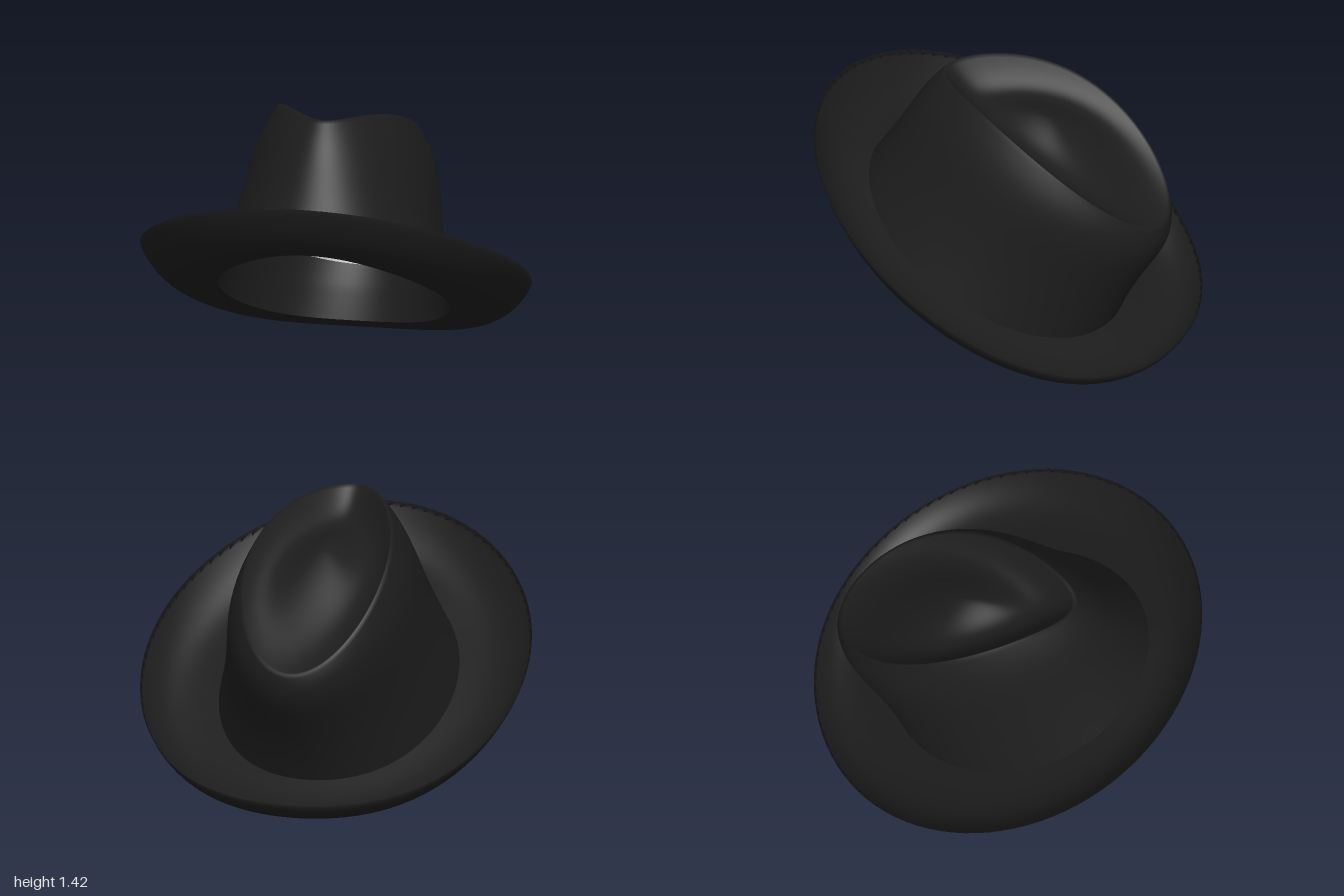
import * as THREE from 'three';

const { sin, cos, PI, max, pow } = Math;
const SEG = 96;
const lerp = THREE.MathUtils.lerp;

// Closed loft: rows of rings, each point given by point(angle, v) with v from v0 to v1.
// Angle 0 is the front (+z), a quarter turn is the wearer's left (+x).
function loft(point, v0, v1, rows) {
  const pos = [], idx = [];
  for (let j = 0; j <= rows; j++) {
    for (let i = 0; i < SEG; i++) pos.push(...point((i / SEG) * 2 * PI, lerp(v0, v1, j / rows)));
  }
  for (let j = 0; j < rows; j++) {
    for (let i = 0; i < SEG; i++) {
      const n = (i + 1) % SEG;
      const a = j * SEG + i, b = j * SEG + n, c = b + SEG, d = a + SEG;
      idx.push(a, b, c, a, c, d);
    }
  }
  const g = new THREE.BufferGeometry();
  g.setAttribute('position', new THREE.Float32BufferAttribute(pos, 3));
  g.setIndex(idx);
  g.computeVertexNormals();
  return g;
}

// Brim top surface: t = 0 at the crown, t = 1 at the edge; tilted so the front is raised.
function brimTop(a, t) {
  const x = lerp(0.61, 1, t) * sin(a);
  const z = lerp(0.06, 0, t) + lerp(0.66, 0.99, t) * cos(a);
  const sideDip = lerp(0.015 - 0.015 * cos(a), 0.055 - 0.035 * cos(a), t);
  const h = 0.415 + 0.2 * pow(t, 3.5)
    + 0.04 * max(0, cos(a)) ** 4 * (1 - t)
    - 0.02 * max(0, -cos(a)) ** 4 * t
    - sideDip * (1 - cos(a) ** 4);
  return [x, 0.5 * z + h, z];
}

// Brim skin: underside outward (v 0..1), then the top inward (v 1..2).
function brimSkin(a, v) {
  const t = v <= 1 ? v : 2 - v;
  const [x, y, z] = brimTop(a, t);
  if (v >= 1) return [x, y, z];
  const inset = 0.02 * (1 - t);
  return [x - inset * sin(a), y - 0.03 * Math.sqrt(1 - t ** 4), z - inset * cos(a)];
}

// Teardrop crest of the crown, shrunk by k towards its centre, following the sloping ridge line.
function crownTop(a, k) {
  const x = 0.36 * k * sin(a) * (1 - 0.25 * cos(a) - 0.12 * cos(a) ** 2);
  const z = -0.262 + 0.607 * k * cos(a);
  const valley = sin(PI * pow(k, 1.6)) * (0.045 + 0.075 * pow(0.5 + 0.5 * cos(a), 1.5));
  const ridge = 1.41 - 0.52 * (z - 0.25) ** 2 - 0.12 * x * x - 0.04 * x;
  return [x, ridge - 0.045 * (1 - k ** 4) - valley, z];
}

// Crown wall: s = 0 at the brim, s = 1 at the crest.
function crownWall(a, s) {
  const p = brimTop(a, 0), q = crownTop(a, 1);
  const bulge = (0.035 - 0.015 * cos(a)) * sin(PI * pow(s, 2.5));
  return [
    lerp(p[0], q[0], s) + bulge * sin(a),
    lerp(p[1], q[1], s),
    lerp(p[2], q[2], s) + bulge * cos(a),
  ];
}

const crownSkin = (a, v) => (v <= 1 ? crownWall(a, v) : crownTop(a, 2 - v));

// Inside of the crown, set in from the outer skin, with soft folds in the cloth.
function insideSkin(a, v, folds) {
  const [x, y, z] = crownSkin(a, v);
  const r = v <= 1 ? 1 : 2 - v;
  const ripple = folds * (1 + sin(5 * a + 7 * v)) * r * max(0, v - 0.38);
  const inset = (0.02 + ripple) * r;
  const drop = 0.03 * THREE.MathUtils.smoothstep(v, 0, 1) + (v < 0.2 ? 0.03 * (1 - v / 0.2) : 0);
  return [x - inset * sin(a), y - drop - ripple, z - inset * cos(a)];
}

export function createModel() {
  const felt = new THREE.MeshStandardMaterial({ color: 0x1c1c1c });
  felt.name = 'black felt';
  const cloth = new THREE.MeshStandardMaterial({ color: 0xbab5b2 });
  cloth.name = 'pale lining';

  const hat = new THREE.Group();
  hat.name = 'hat';
  const add = (name, geometry, material) => {
    const mesh = new THREE.Mesh(geometry, material);
    mesh.name = name;
    hat.add(mesh);
  };

  add('brim', loft(brimSkin, 0, 2, 56), felt);
  add('crown', loft(crownSkin, 0, 2, 72), felt);
  // Inner surfaces run downwards so that they face into the hat
  add('lining', loft((a, v) => insideSkin(a, v, 0.03), 2, 0.38, 48), cloth);
  add('sweatband', loft((a, v) => insideSkin(a, v, 0), 0.38, 0, 12), felt);
  return hat;
}
